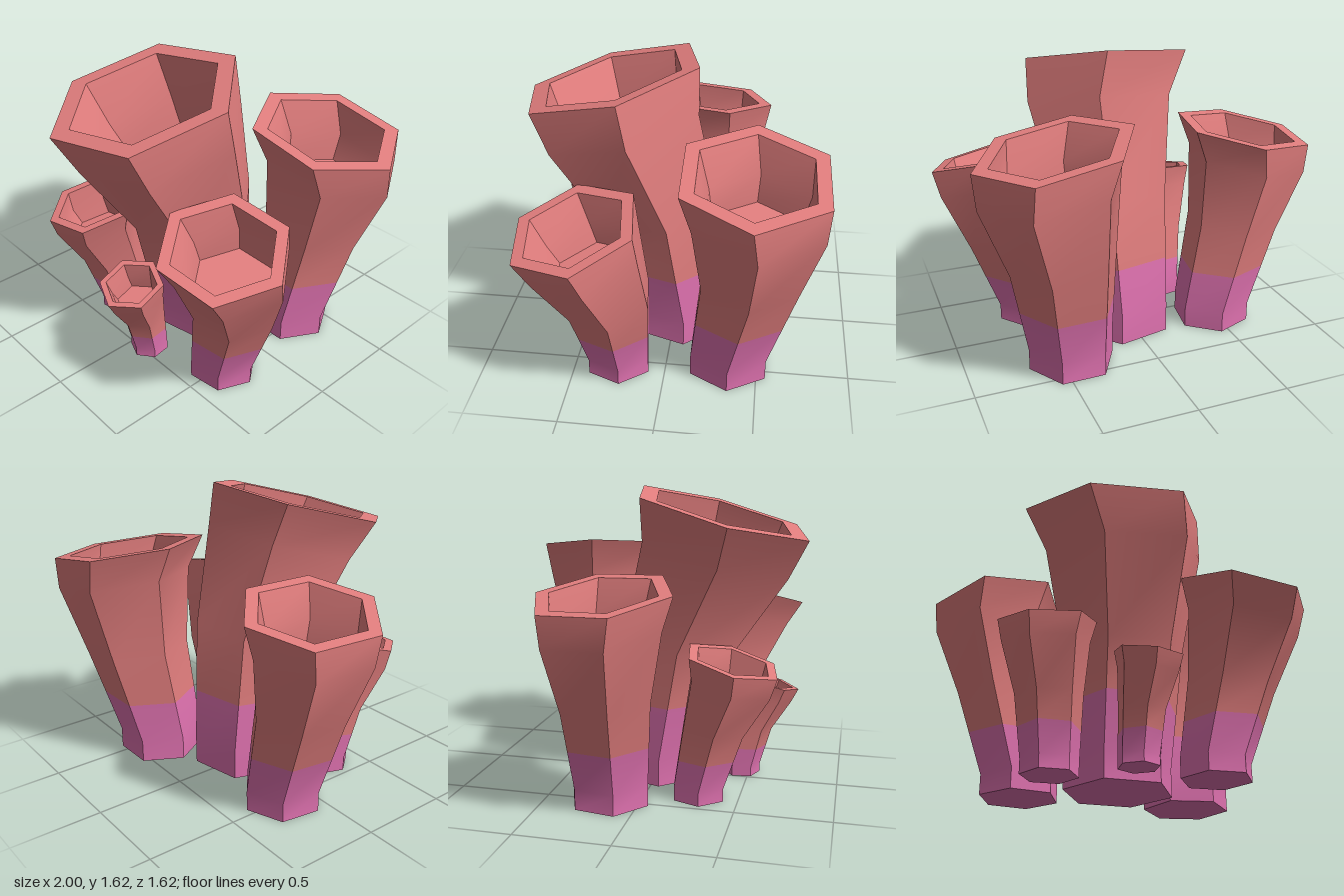
import * as THREE from 'three';
import { toCreasedNormals } from 'three/addons/utils/BufferGeometryUtils.js';

const SIDES = 6;
// ring heights (share of tube height) and tilt shares, base to mouth
const HEIGHTS = [0, 0.1, 0.52, 0.85, 1];
const TILTS = [0, 0.15, 0.7, 1, 1];

// height, mouth radius, foot radius, phase in degrees, mouth slope in x and z, ring centres [x, z]
const TUBES = [
  { name: 'centreTube', h: 1.49, r: 0.498, foot: 0.298, phase: -12, slope: [0.043, -0.265],
    path: [[0.035, -0.015], [0.035, -0.015], [0.06, 0.08], [0.053, 0.285], [-0.01, 0.34]] },
  { name: 'backRightTube', h: 1.127, r: 0.37, foot: 0.218, phase: -21, slope: [0.167, 0.06],
    path: [[-0.488, -0.16], [-0.488, -0.16], [-0.605, -0.15], [-0.68, -0.145], [-0.655, -0.135]] },
  { name: 'backLeftTube', h: 1.24, r: 0.411, foot: 0.236, phase: -1, slope: [-0.18, 0.04],
    path: [[0.44, -0.343], [0.44, -0.343], [0.495, -0.44], [0.56, -0.47], [0.527, -0.445]] },
  { name: 'frontLeftTube', h: 0.965, r: 0.338, foot: 0.187, phase: -8, slope: [-0.2, -0.205],
    path: [[0.505, 0.262], [0.505, 0.262], [0.605, 0.28], [0.67, 0.375], [0.665, 0.43]] },
  { name: 'frontRightTube', h: 0.757, r: 0.254, foot: 0.149, phase: -10, slope: [0.045, -0.239],
    path: [[-0.325, 0.285], [-0.325, 0.285], [-0.337, 0.36], [-0.36, 0.45], [-0.355, 0.46]] },
  { name: 'smallFrontTube', h: 0.535, r: 0.174, foot: 0.105, phase: 22, slope: [-0.1, -0.248],
    path: [[0.097, 0.455], [0.097, 0.455], [0.11, 0.5], [0.135, 0.57], [0.137, 0.59]] },
];

// one hexagonal ring, tilted by the slope of the tube's mouth
function makeRing(tube, [cx, cz], cy, radius, tilt) {
  return Array.from({ length: SIDES }, (_, i) => {
    const a = THREE.MathUtils.degToRad(tube.phase + (i * 360) / SIDES);
    const dx = radius * Math.cos(a), dz = radius * Math.sin(a);
    return new THREE.Vector3(cx + dx, cy + tilt * (tube.slope[0] * dx + tube.slope[1] * dz), cz + dz);
  });
}

// triangle corners of the skin through successive rings
function skin(rings) {
  const positions = [];
  const triangle = (a, b, c) => {
    if (a.equals(b) || b.equals(c) || a.equals(c)) return;
    for (const p of [a, b, c]) positions.push(p.x, p.y, p.z);
  };
  for (let k = 0; k < rings.length - 1; k++) {
    for (let i = 0; i < SIDES; i++) {
      const j = (i + 1) % SIDES;
      const low = rings[k], high = rings[k + 1];
      triangle(low[i], high[i], low[j]);
      triangle(high[i], high[j], low[j]);
    }
  }
  return positions;
}

const collapse = (ring) => {
  const centre = ring.reduce((sum, p) => sum.add(p), new THREE.Vector3()).divideScalar(SIDES);
  return ring.map(() => centre);
};

function makeTube(tube, materials) {
  const { h, r, foot, path } = tube;
  const radii = [foot, foot, r * 0.69, r * 0.89, r];
  const outer = path.map((c, k) => makeRing(tube, c, h * HEIGHTS[k], radii[k], TILTS[k]));

  // level colour boundary between the second and third rings
  const cutY = 0.3 * h;
  const cut = outer[1].map((p, i) => {
    const q = outer[2][i];
    return p.clone().lerp(q, (cutY - p.y) / (q.y - p.y));
  });

  // hollow mouth: rim, inner wall and floor
  const rim = makeRing(tube, path[4], h, r * 0.8, 1);
  const wall = makeRing(tube, path[3], h * 0.85, r * 0.72, 1);
  const mix = (n) => THREE.MathUtils.lerp(path[3][n], path[2][n], 0.36);
  const floor = makeRing(tube, [mix(0), mix(1)], h * 0.73, r * 0.64, 0.9);

  // smooth along the length, sharp between the six sides
  const lower = skin([collapse(outer[0]), outer[0], outer[1], cut]);
  const upper = skin([cut, outer[2], outer[3], outer[4], rim, wall, floor, collapse(floor)]);
  const source = new THREE.BufferGeometry();
  source.setAttribute('position', new THREE.Float32BufferAttribute([...lower, ...upper], 3));
  const geometry = toCreasedNormals(source, THREE.MathUtils.degToRad(42));
  geometry.addGroup(0, lower.length / 3, 0);
  geometry.addGroup(lower.length / 3, upper.length / 3, 1);

  const mesh = new THREE.Mesh(geometry, materials);
  mesh.name = tube.name;
  return mesh;
}

export function createModel() {
  const pink = new THREE.MeshStandardMaterial({ color: 0xe072b0 });
  pink.name = 'pink foot';
  const coral = new THREE.MeshStandardMaterial({ color: 0xe27e7e });
  coral.name = 'coral body';

  const model = new THREE.Group();
  model.name = 'tubeCoral';
  for (const tube of TUBES) model.add(makeTube(tube, [pink, coral]));
  return model;
}
